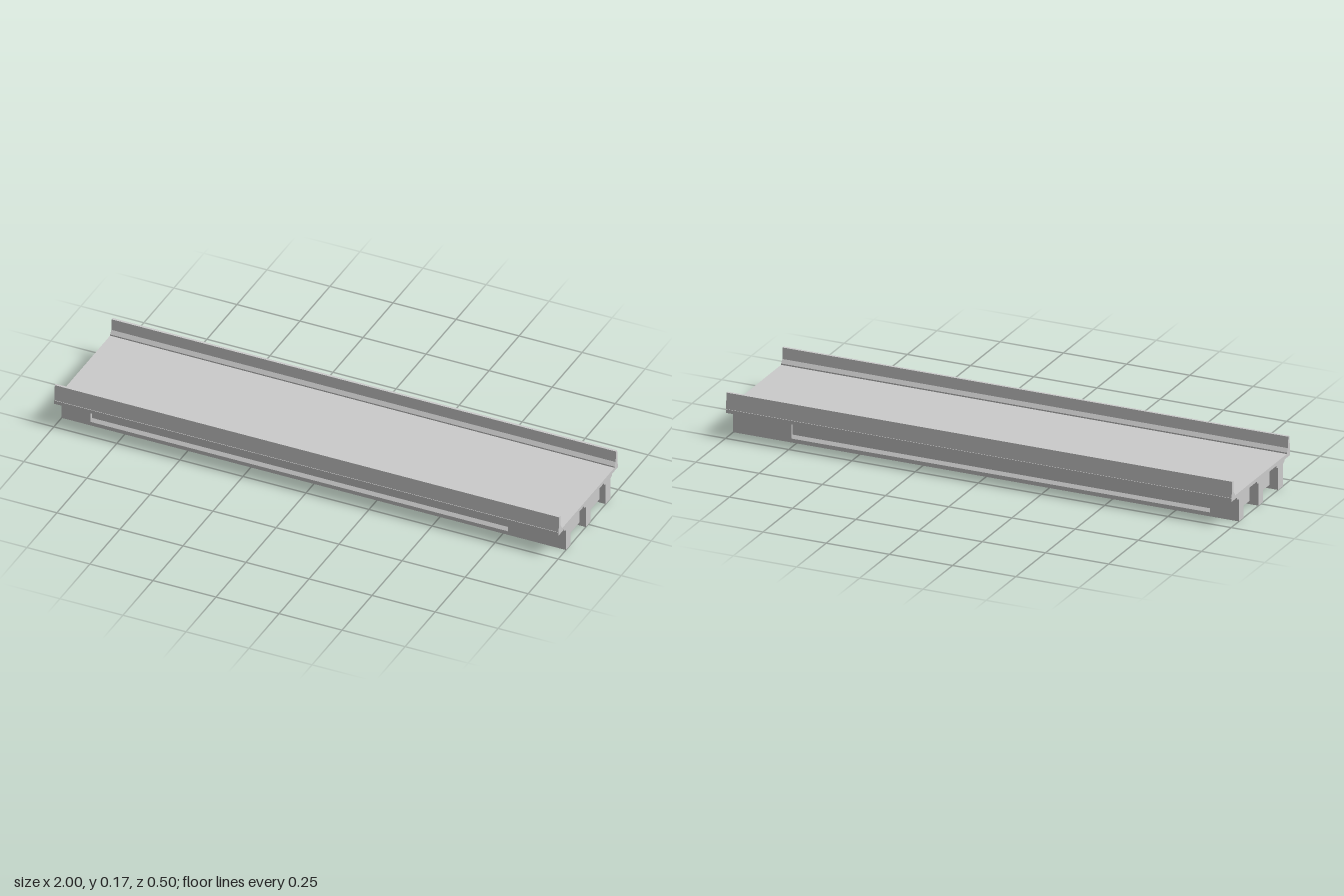
import * as THREE from 'three';

const material = new THREE.MeshStandardMaterial({ color: 0xcccccc, flatShading: true });

// Extrude a [z, y] cross-section along x, from x0 to x1
function beam(name, points, x0, x1) {
  const shape = new THREE.Shape(points.map(([z, y]) => new THREE.Vector2(-z, y)));
  const geometry = new THREE.ExtrudeGeometry(shape, { depth: x1 - x0, bevelEnabled: false });
  geometry.rotateY(Math.PI / 2).translate(x0, 0, 0);
  const mesh = new THREE.Mesh(geometry, material);
  mesh.name = name;
  return mesh;
}

// Mirror a half profile about a centre line
function symmetric(half, centre) {
  const mirrored = half.map(([z, y]) => [-z, y]).reverse();
  return [...half, ...mirrored].map(([z, y]) => [z + centre, y]);
}

export function createModel() {
  const model = new THREE.Group();
  model.name = 'bridgeSpan';

  // Road deck
  model.add(beam('deck', [[-0.248, 0.098], [0.248, 0.098], [0.248, 0.112], [-0.248, 0.112]], -1, 1));

  // Parapets along both edges
  const parapet = [[0.246, 0.112], [0.242, 0.174], [0.232, 0.174], [0.229, 0.131], [0.219, 0.117], [0.219, 0.112]];
  for (const side of [1, -1]) {
    model.add(beam(side > 0 ? 'frontParapet' : 'backParapet', parapet.map(([z, y]) => [z * side, y]), -1, 1));
  }

  // Girders: solid end blocks with a thin-webbed I-section between them
  const solid = [[0.0195, 0], [0.0195, 0.085], [0.034, 0.091], [0.034, 0.098]];
  const webbed = [[0.0195, 0], [0.0195, 0.015], [0.010, 0.027], [0.010, 0.081], [0.034, 0.091], [0.034, 0.098]];
  const webStart = -0.885, webEnd = 0.77;
  [['backGirder', -0.1655], ['centreGirder', 0], ['frontGirder', 0.1655]].forEach(([name, z]) => {
    const girder = new THREE.Group();
    girder.name = name;
    girder.add(
      beam('rightEndBlock', symmetric(solid, z), -1, webStart),
      beam('web', symmetric(webbed, z), webStart, webEnd),
      beam('leftEndBlock', symmetric(solid, z), webEnd, 1)
    );
    model.add(girder);
  });

  // Cross diaphragms between the girders
  for (const x of [-0.955, -0.32, 0.32, 0.965]) {
    for (const side of [1, -1]) {
      const diaphragm = new THREE.Mesh(new THREE.BoxGeometry(0.02, 0.085, 0.149), material);
      diaphragm.position.set(x, 0.0555, side * 0.0827);
      diaphragm.name = 'diaphragm';
      model.add(diaphragm);
    }
  }

  return model;
}
